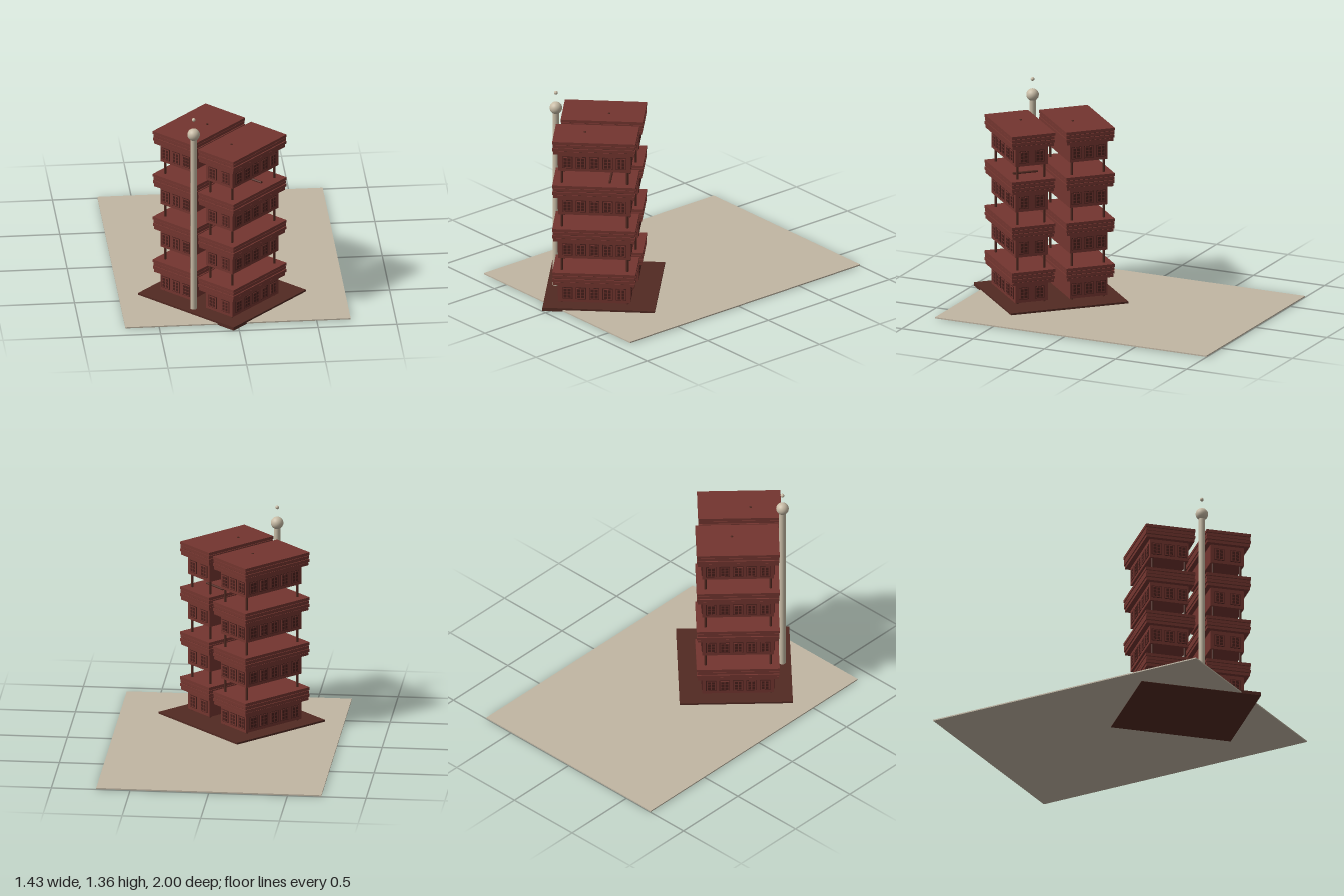
import * as THREE from 'three';

const mat = (name, color) => {
  const m = new THREE.MeshStandardMaterial({ color });
  m.name = name;
  return m;
};

export function createModel() {
  const red = mat('brick red', 0x73352f);
  const brown = mat('dark brown', 0x522a22);
  const dark = mat('window dark', 0x47201c);
  const beige = mat('ground beige', 0xc1b6a3);
  const pale = mat('pole cream', 0xc8bca6);

  const model = new THREE.Group();
  model.name = 'towerCompound';

  function add(parent, name, geo, material, x, y, z) {
    const m = new THREE.Mesh(geo, material);
    m.name = name;
    m.position.set(x, y, z);
    parent.add(m);
    return m;
  }
  const box = (w, h, d) => new THREE.BoxGeometry(w, h, d);

  // Ground slab
  add(model, 'ground', box(1.43, 0.008, 1.905), beige, 0, 0.006, -0.0475);

  // Everything but the pole sits on a frame turned by 45 degrees
  const site = new THREE.Group();
  site.name = 'site';
  site.rotation.y = -Math.PI / 4;
  model.add(site);
  add(site, 'basePlate', box(0.786, 0.022, 0.715), brown, 0.286, 0.011, 0.372);

  // Lattice window: dark surround, red panel and six dark panes
  const surround = box(0.066, 0.08, 0.004);
  const panel = box(0.058, 0.072, 0.004);
  const pane = box(0.018, 0.017, 0.003);
  function makeWindow() {
    const g = new THREE.Group();
    g.name = 'window';
    add(g, 'windowSurround', surround, dark, 0, 0, 0.001);
    add(g, 'windowPanel', panel, red, 0, 0, 0.003);
    for (const sx of [-1, 1])
      for (const row of [-1, 0, 1])
        add(g, 'windowPane', pane, dark, sx * 0.0125, row * 0.0215, 0.005);
    return g;
  }

  // A row of windows along one wall, facing the given angle
  function windowRow(parent, count, pitch, angle, distance, y) {
    const wall = new THREE.Group();
    wall.name = 'windowRow';
    wall.rotation.y = angle;
    for (let i = 0; i < count; i++) {
      const w = makeWindow();
      w.position.set((i - (count - 1) / 2) * pitch, y, distance);
      wall.add(w);
    }
    parent.add(wall);
  }

  const leg = new THREE.CylinderGeometry(0.008, 0.008, 1, 10);
  const inset = 0.036;

  // One tower of four storeys; outer is the side (+1 or -1) of its long window wall
  function makeTower(name, u0, u1, v0, v1, outer, endCount, endPitch) {
    const tower = new THREE.Group();
    tower.name = name;
    tower.position.set((u0 + u1) / 2, 0, (v0 + v1) / 2);
    site.add(tower);
    const w = u1 - u0, d = v1 - v0;
    const bw = w - inset * 2, bd = d - inset * 2;
    const wallGeo = box(bw, 0.125, bd);
    const coreGeo = box(w - 0.018, 0.08, d - 0.018);
    // Roof boards from the top down: trim and thickness
    const boards = [0, 0.003, 0.001, 0.006].map(t => box(w - t * 2, 0.0185, d - t * 2));

    for (let f = 0; f < 4; f++) {
      const storey = new THREE.Group();
      storey.name = 'storey';
      storey.position.y = f * 0.3;
      tower.add(storey);
      add(storey, 'walls', wallGeo, red, 0, 0.0945, 0);
      add(storey, 'roofCore', coreGeo, brown, 0, 0.199, 0);
      boards.forEach((b, i) => add(storey, 'roofBoard', b, red, 0, 0.2345 - i * 0.0227, 0));

      windowRow(storey, 5, 0.085, outer * Math.PI / 2, bw / 2, 0.092);
      windowRow(storey, endCount, endPitch, 0, bd / 2, 0.092);
      windowRow(storey, endCount, endPitch, Math.PI, bd / 2, 0.092);

      // Corner legs below the walls
      const bottom = f ? -0.06 : 0.02;
      for (const sx of [-1, 1])
        for (const sz of [-1, 1]) {
          const l = add(storey, 'leg', leg, brown,
            sx * (bw / 2 - 0.02), (bottom + 0.04) / 2, sz * (bd / 2 - 0.02));
          l.scale.y = 0.04 - bottom;
        }
    }
    return tower;
  }
  const backTower = makeTower('backTower', -0.054, 0.271, 0.124, 0.648, -1, 3, 0.083);
  const frontTower = makeTower('frontTower', 0.337, 0.628, 0.145, 0.672, 1, 2, 0.105);

  // Small roof knobs
  const knob = new THREE.CylinderGeometry(0.008, 0.008, 0.008, 10);
  add(backTower, 'roofKnob', knob, brown, 0.04, 1.144, -0.035);
  add(frontTower, 'roofKnob', knob, brown, -0.03, 1.144, 0.07);

  // Loose post lying on the third roof
  const loose = add(site, 'loosePost', leg, brown, 0.48, 0.849, 0.313);
  loose.scale.set(1, 0.165, 1);
  loose.rotation.z = Math.PI / 2;

  // Flagpole with ball and small floating finial
  const pole = new THREE.Group();
  pole.name = 'flagpole';
  pole.position.set(-0.262, 0, 0.693);
  model.add(pole);
  add(pole, 'poleShaft', new THREE.CylinderGeometry(0.021, 0.021, 1.2, 24), pale, 0, 0.615, 0);
  add(pole, 'poleBall', new THREE.SphereGeometry(0.04, 24, 16), pale, 0, 1.24, 0);
  add(pole, 'poleFinial', new THREE.SphereGeometry(0.012, 16, 12), pale, 0, 1.343, 0);

  return model;
}
